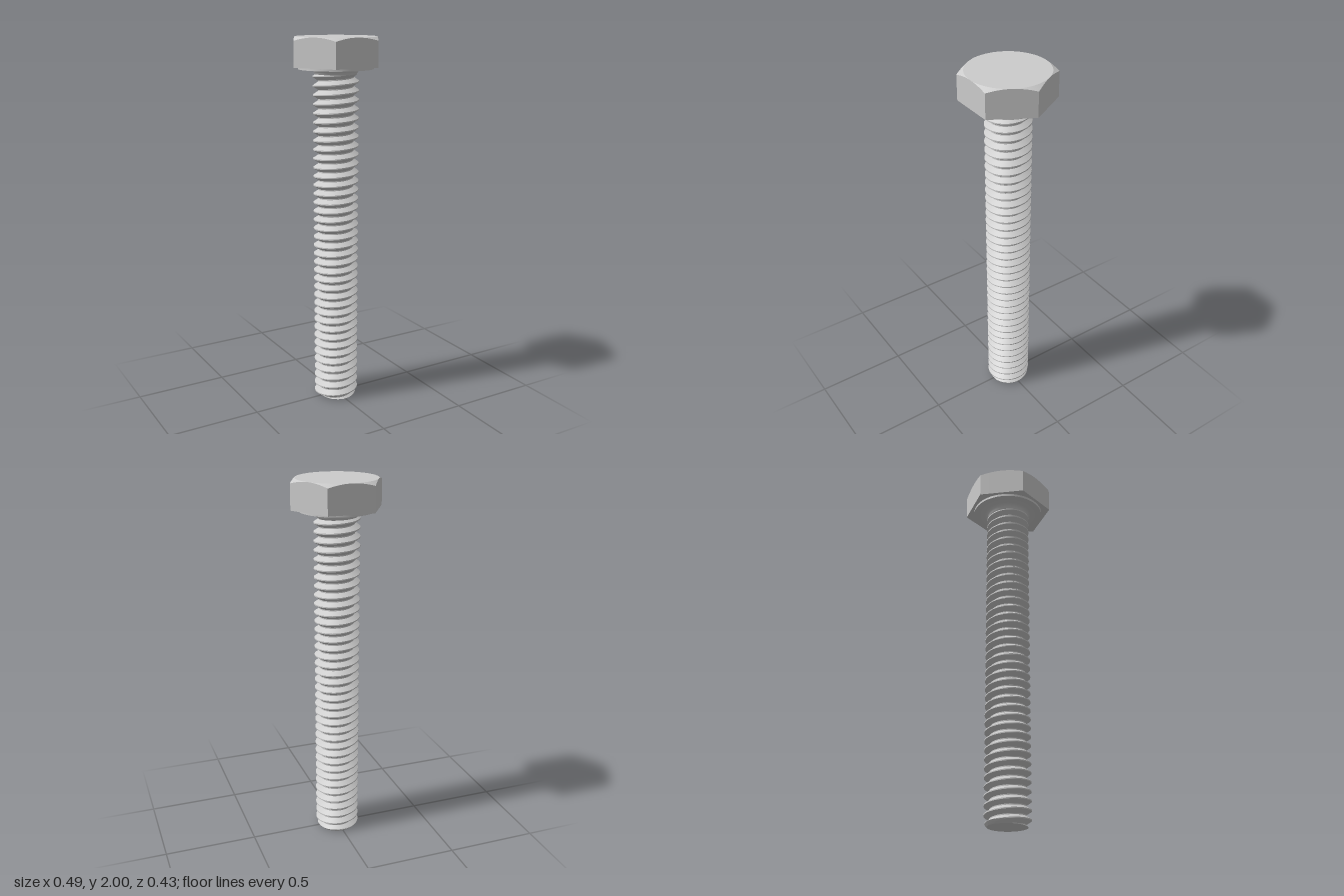
import * as THREE from 'three';
import { toCreasedNormals } from 'three/addons/utils/BufferGeometryUtils.js';

const PITCH = 0.048, CREST = 0.121, ROOT = 0.094, THREAD_TOP = 1.81;
const FLAT = 0.2135, HEAD_BASE = 1.848, HEAD_TOP = 2;

// Skin of rows (bottom to top) around the y axis; fn(row, angle) gives [radius, y].
function loft(rows, segs, fn) {
  const pos = [], index = [];
  for (let r = 0; r < rows; r++) {
    for (let s = 0; s <= segs; s++) {
      const t = (s / segs) * Math.PI * 2;
      const [rad, y] = fn(r, t);
      pos.push(rad * Math.cos(t), y, -rad * Math.sin(t));
    }
  }
  const v = i => new THREE.Vector3().fromArray(pos, i * 3);
  const tri = (a, b, c) => {
    const n = v(b).sub(v(a)).cross(v(c).sub(v(a)));
    if (n.length() > 1e-10) index.push(a, b, c); // drop collapsed faces
  };
  for (let r = 0; r < rows - 1; r++) {
    for (let s = 0; s < segs; s++) {
      const a = r * (segs + 1) + s, d = a + segs + 1;
      tri(a, a + 1, d + 1);
      tri(a, d + 1, d);
    }
  }
  const geo = new THREE.BufferGeometry();
  geo.setAttribute('position', new THREE.Float32BufferAttribute(pos, 3));
  geo.setIndex(index);
  return toCreasedNormals(geo, 0.4);
}

// Thread radius: narrow flat crest, sloped flanks, narrow flat root.
function threadRadius(y, t) {
  const turn = y / PITCH - t / (Math.PI * 2);
  const d = Math.abs(turn - Math.round(turn)) * 2; // 0 at crest, 1 at root
  const k = THREE.MathUtils.clamp((d - 0.125) / 0.75, 0, 1);
  return CREST + (ROOT - CREST) * k;
}

// Rows follow the helix, so crests and roots stay crisp.
function threadedShank() {
  const per = 16, rows = per * (Math.ceil(THREAD_TOP / PITCH) + 1) + 2;
  return loft(rows, 48, (row, t) => {
    if (row === 0) return [0, 0];
    const helixY = PITCH * ((row - 1) / per - 1 + t / (Math.PI * 2));
    const y = THREE.MathUtils.clamp(helixY, 0, THREAD_TOP);
    return [Math.min(threadRadius(y, t), 0.106 + y * 0.8), y]; // chamfered tip
  });
}

// Hexagon with corners on +-x, its top corners cut by a shallow cone.
function hexHead() {
  const side = Math.PI / 3;
  return loft(5, 96, (row, t) => {
    const a = (t % side) - side / 2;
    const hex = FLAT / Math.cos(a);
    if (row === 0) return [0, HEAD_BASE];
    if (row === 1) return [hex, HEAD_BASE];
    if (row === 2) return [hex, HEAD_TOP - (hex - FLAT) * 0.55];
    if (row === 3) return [FLAT, HEAD_TOP];
    return [0, HEAD_TOP];
  });
}

// Washer face under the head and the fillet that joins it to the shank.
function collar() {
  const pts = [
    [0.094, 1.795], [0.108, 1.806], [0.112, 1.815], [0.118, 1.824],
    [0.127, 1.831], [0.138, 1.835], [0.197, 1.835], [0.197, 1.85],
  ].map(([x, y]) => new THREE.Vector2(x, y));
  return toCreasedNormals(new THREE.LatheGeometry(pts, 64), 0.6);
}

export function createModel() {
  const group = new THREE.Group();
  group.name = 'hexBolt';
  const metal = new THREE.MeshStandardMaterial({ color: 0xcccccc });
  const add = (name, geo) => {
    const mesh = new THREE.Mesh(geo, metal);
    mesh.name = name;
    group.add(mesh);
  };
  add('threadedShank', threadedShank());
  add('washerFace', collar());
  add('hexHead', hexHead());
  return group;
}
